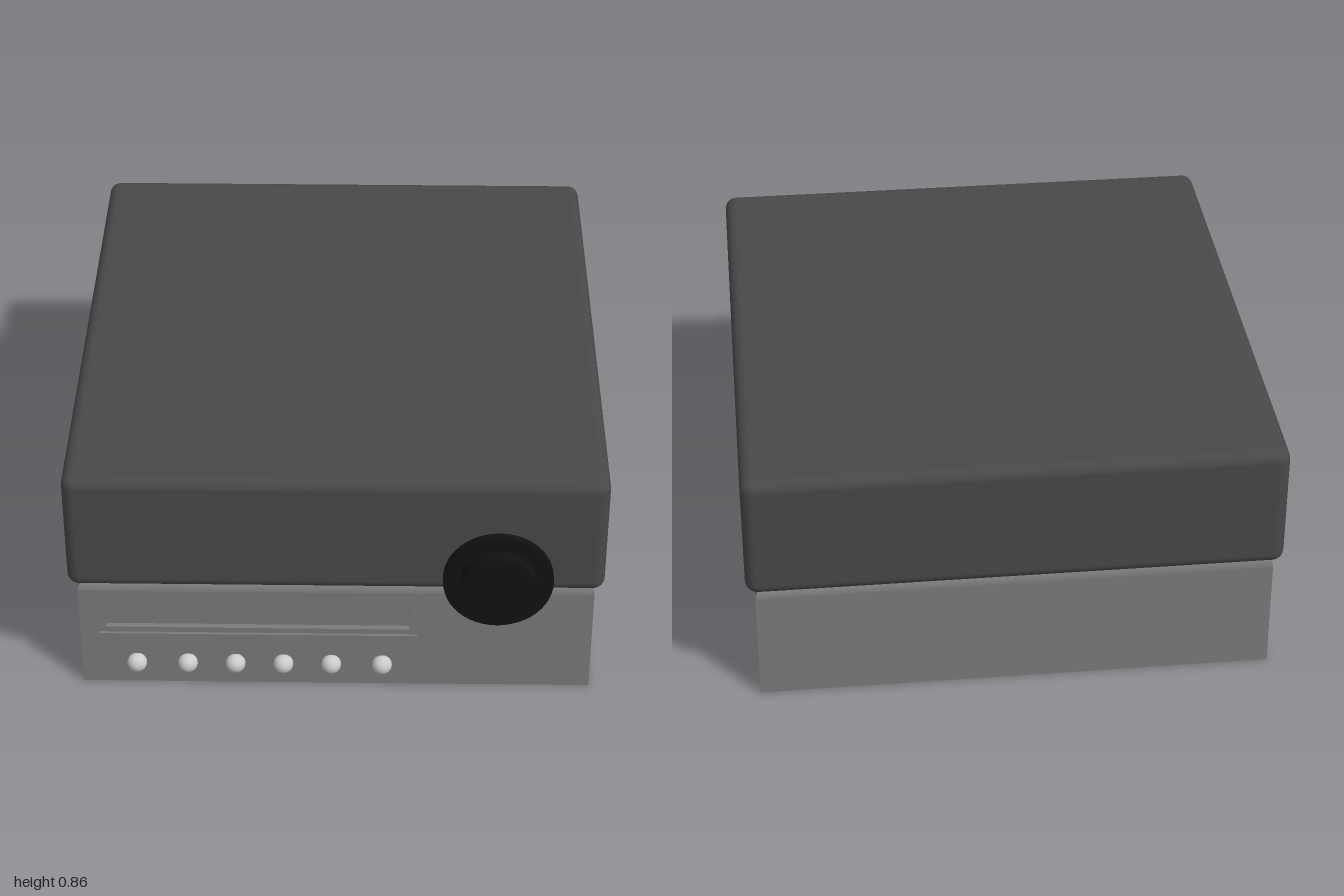
import * as THREE from 'three';
import { RoundedBoxGeometry } from 'three/addons/geometries/RoundedBoxGeometry.js';
import { toCreasedNormals } from 'three/addons/utils/BufferGeometryUtils.js';

const material = (color) => new THREE.MeshStandardMaterial({ color });

export function createModel() {
  const group = new THREE.Group();
  const dark = material(0x484848), grey = material(0x7a7a7a);
  const black = material(0x111111), silver = material(0xcccccc);

  function add(name, geometry, mat, x, y, z, parent = group) {
    const mesh = new THREE.Mesh(geometry, mat);
    mesh.name = name;
    mesh.position.set(x, y, z);
    parent.add(mesh);
    return mesh;
  }

  // Upper case with softly rounded edges
  add('upperCase', new RoundedBoxGeometry(1.76, 0.435, 1.93, 5, 0.04), dark, 0, 0.6375, -0.035);

  // Lower case: sharp sides and base, with a rounded top rim
  const lower = new THREE.Group();
  lower.name = 'lowerCase';
  group.add(lower);
  const halfW = 0.85, back = -0.965, front = 0.9, shoulder = 0.385, radius = 0.035;
  const recessZ = 0.87, stepZ = 0.89;
  add('lowerBody', new THREE.BoxGeometry(halfW * 2, shoulder, recessZ - back), grey,
    0, shoulder / 2, (recessZ + back) / 2, lower);

  const depth = front - back, steps = 5;
  const rim = new THREE.BoxGeometry(halfW * 2, 1, depth, 1, steps, 1);
  const p = rim.attributes.position;
  for (let i = 0; i < p.count; i++) {
    const a = (p.getY(i) + 0.5) * Math.PI / 2;
    const inset = radius * (1 - Math.cos(a));
    p.setXYZ(i, p.getX(i) - Math.sign(p.getX(i)) * inset, radius * Math.sin(a),
      p.getZ(i) - Math.sign(p.getZ(i)) * inset);
  }
  add('lowerRim', toCreasedNormals(rim, 0.6), grey, 0, shoulder, (front + back) / 2, lower);

  // Front panel layers, whose openings form a stepped disc slot
  function panel(name, z0, z1, x0, x1, y0, y1) {
    const shape = new THREE.Shape([
      new THREE.Vector2(-halfW, 0), new THREE.Vector2(halfW, 0),
      new THREE.Vector2(halfW, shoulder), new THREE.Vector2(-halfW, shoulder),
    ]);
    shape.holes.push(new THREE.Path([
      new THREE.Vector2(x0, y0), new THREE.Vector2(x0, y1),
      new THREE.Vector2(x1, y1), new THREE.Vector2(x1, y0),
    ]));
    const geometry = new THREE.ExtrudeGeometry(shape, { depth: z1 - z0, bevelEnabled: false });
    add(name, geometry, grey, 0, 0, z0, lower);
  }
  panel('frontPanel', stepZ, front, -0.79, 0.27, 0.205, 0.37);
  panel('slotFrame', recessZ, stepZ, -0.765, 0.245, 0.225, 0.355);

  // Row of round buttons
  [-0.665, -0.495, -0.335, -0.175, -0.015, 0.155].forEach((x, i) => {
    add(`button${i + 1}`, new THREE.SphereGeometry(0.033, 24, 16), silver, x, 0.09, 0.91);
  });

  // Two-stage dial overlapping both cases
  function disc(name, r, z0, z1) {
    const geometry = new THREE.CylinderGeometry(r, r, z1 - z0, 48).rotateX(Math.PI / 2);
    add(name, geometry, black, 0.53, 0.48, (z0 + z1) / 2);
  }
  disc('dialBase', 0.18, 0.89, 0.955);
  disc('dialKnob', 0.125, 0.95, 1.0);

  return group;
}
